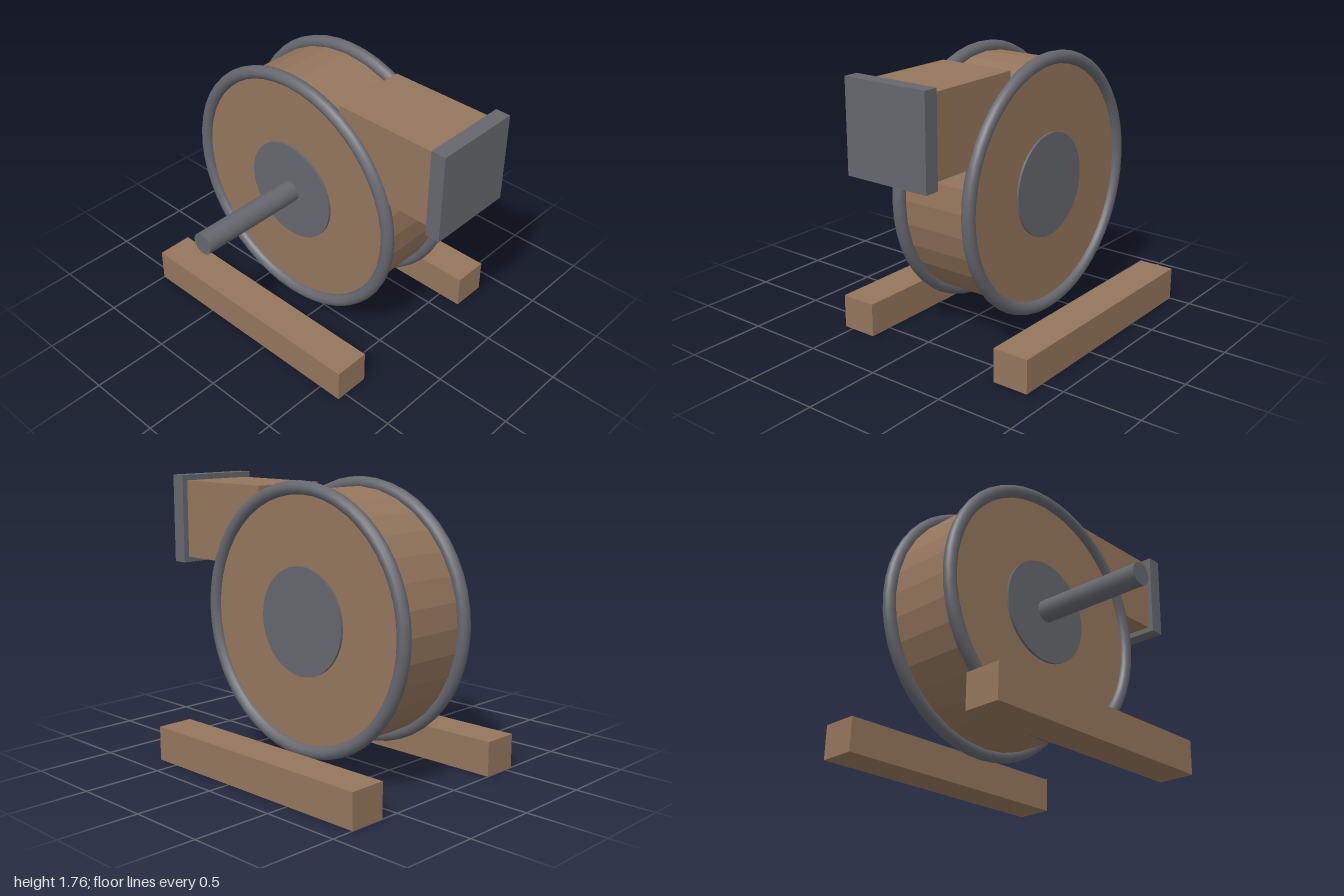
import * as THREE from 'three';

const wood = new THREE.MeshStandardMaterial({ color: 0x94765c, flatShading: true });
const steel = new THREE.MeshStandardMaterial({ color: 0x65676d });

// Shared axis of the fan drum
const CX = -0.17, CY = 0.935, CZ = -0.15;

export function createModel() {
  const model = new THREE.Group();

  const add = (name, geometry, material, x, y, z) => {
    const mesh = new THREE.Mesh(geometry, material);
    mesh.name = name;
    mesh.position.set(x, y, z);
    model.add(mesh);
    return mesh;
  };
  // Box given by its limits on each axis
  const box = (name, material, x0, x1, y0, y1, z0, z1) =>
    add(name, new THREE.BoxGeometry(x1 - x0, y1 - y0, z1 - z0), material,
      (x0 + x1) / 2, (y0 + y1) / 2, (z0 + z1) / 2);
  // Cylinder lying along z, on the drum axis
  const axle = (name, material, radius, z0, z1, sides) =>
    add(name, new THREE.CylinderGeometry(radius, radius, z1 - z0, sides).rotateX(Math.PI / 2),
      material, CX, CY, (z0 + z1) / 2);

  // Fan housing: faceted wooden drum
  axle('drum', wood, 0.77, CZ - 0.26, CZ + 0.26, 32);

  // Rim hoop and hub plate on both faces
  for (const [side, s] of [['front', 1], ['back', -1]]) {
    add(side + 'Rim', new THREE.TorusGeometry(0.787, 0.041, 12, 48), steel, CX, CY, CZ + s * 0.26);
    const z = CZ + s * 0.26;
    axle(side + 'HubPlate', steel, 0.33, z - 0.015, z + 0.015, 40);
  }

  // Drive shaft out of the front
  axle('shaft', steel, 0.07, 0.05, 0.855, 24);

  // Air outlet with end flange
  box('outletDuct', wood, 0.215, 0.91, 1.215, 1.71, -0.398, 0.098);
  box('outletFlange', steel, 0.905, 1, 1.18, 1.745, -0.435, 0.135);

  // Ground rails
  box('frontRail', wood, -1, 0.655, 0, 0.215, 0.325, 0.56);
  box('backRail', wood, -1, 0.655, 0, 0.215, -0.855, -0.62);

  return model;
}
